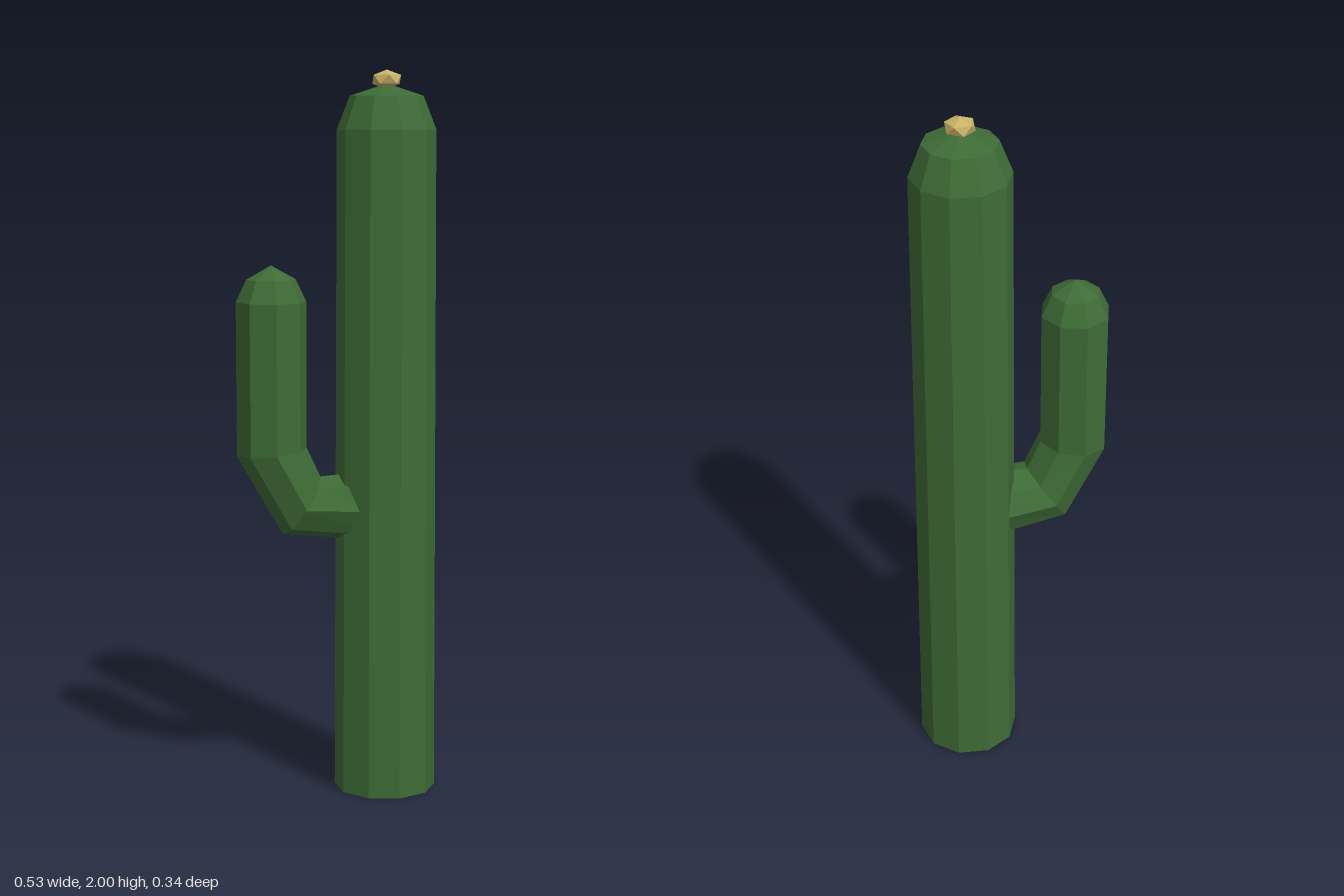
import * as THREE from 'three';

const rad = THREE.MathUtils.degToRad;

// Loft through rings in a local x-y plane; each ring is [x, y, tilt in degrees, radius]
function loft(rings, sides) {
  const pos = [], index = [];
  for (const [x, y, tilt, r] of rings) {
    const t = rad(tilt);
    for (let j = 0; j < sides; j++) {
      const a = (j / sides) * Math.PI * 2;
      const u = r * Math.cos(a);
      pos.push(x + u * Math.cos(t), y + u * Math.sin(t), r * Math.sin(a));
    }
  }
  for (let i = 0; i < rings.length - 1; i++) {
    for (let j = 0; j < sides; j++) {
      const k = (j + 1) % sides;
      const a = i * sides + j, b = i * sides + k;
      const c = a + sides, d = b + sides;
      index.push(a, c, b, b, c, d);
    }
  }
  const geo = new THREE.BufferGeometry();
  geo.setAttribute('position', new THREE.Float32BufferAttribute(pos, 3));
  geo.setIndex(index);
  geo.computeVertexNormals();
  return geo;
}

export function createModel() {
  const group = new THREE.Group();
  group.name = 'cactus';

  const green = new THREE.MeshStandardMaterial({ color: 0x3e6b36, flatShading: true });
  green.name = 'cactusGreen';
  const yellow = new THREE.MeshStandardMaterial({ color: 0xc8b266, flatShading: true });
  yellow.name = 'flowerYellow';

  const add = (name, geo, mat, x, y, z, turn) => {
    const mesh = new THREE.Mesh(geo, mat);
    mesh.name = name;
    mesh.position.set(x, y, z);
    mesh.rotation.y = rad(turn);
    group.add(mesh);
    return mesh;
  };

  // Ten-sided, slightly tapered trunk with a bevelled top
  const profile = [[0, 0], [0.141, 0], [0.135, 1.84], [0.1, 1.93], [0, 1.963]]
    .map(([x, y]) => new THREE.Vector2(x, y));
  add('trunk', new THREE.LatheGeometry(profile, 10), green, 0.1225, 0, -0.033, 27);

  // Eight-sided arm: out of the trunk, round the elbow, up to a domed tip
  const arm = [
    [0.27, 0.805, 90, 0.097],
    [0.082, 0.813, 56, 0.095],
    [0, 0.965, 6, 0.097],
    [0, 1.377, 0, 0.097],
    [0, 1.438, 0, 0.068],
    [0, 1.476, 0, 0.0005],
  ];
  add('arm', loft(arm, 8), green, -0.175, 0, 0.081, 21);

  // Flattened flower bud on top, pointed end up
  const bud = new THREE.IcosahedronGeometry(0.044, 0);
  bud.rotateZ(-Math.atan(2 / (1 + Math.sqrt(5))));
  bud.scale(1, 0.6, 1);
  add('flower', bud, yellow, 0.1225, 1.9736, -0.033, 0);

  return group;
}
